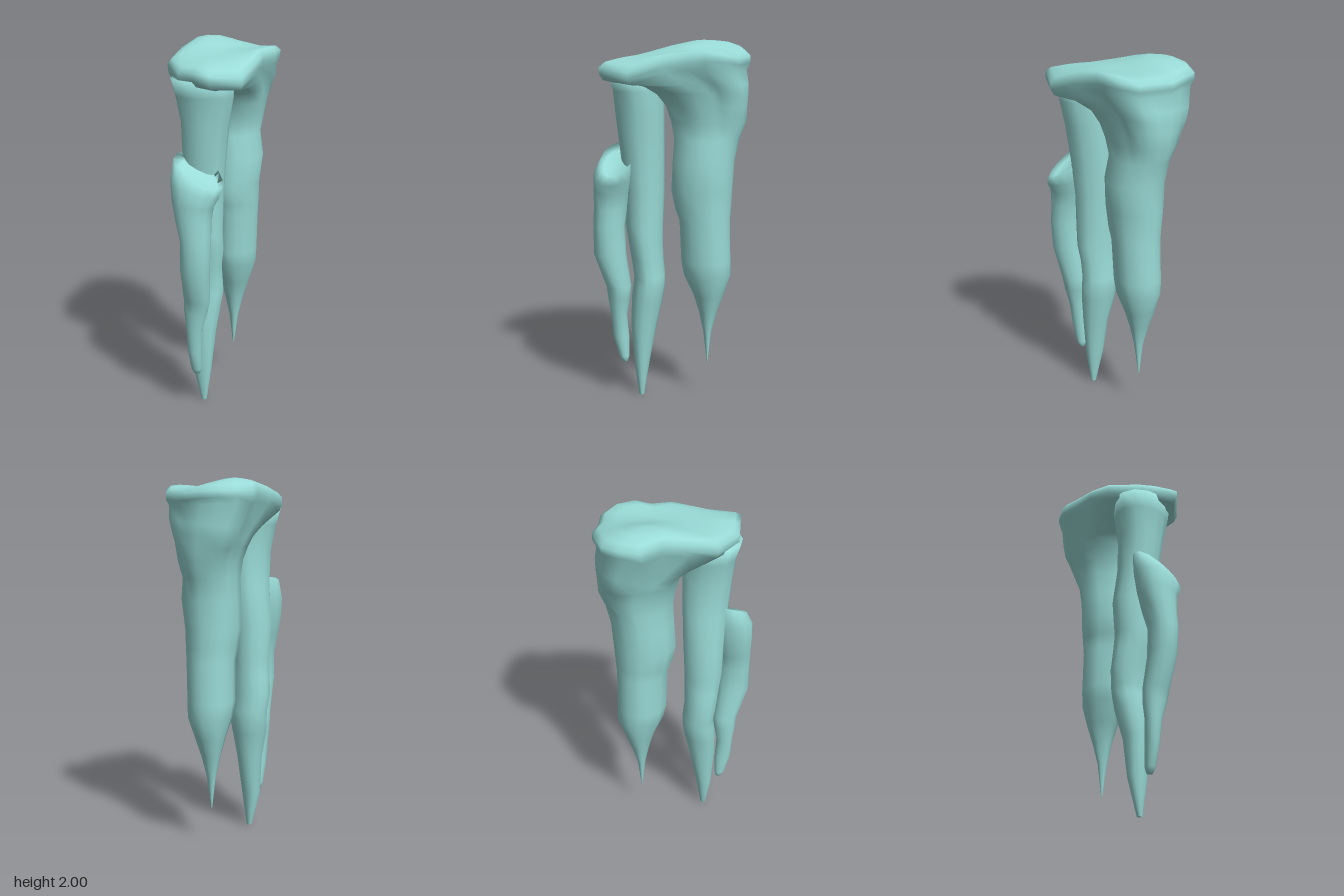
import * as THREE from 'three';

// Smooth skin over rings listed from top to bottom, closed at both ends
function skin(rings, material, name) {
  const n = rings[0].length, pos = [], idx = [];
  for (const ring of rings) for (const p of ring) pos.push(...p);
  for (let i = 0; i < rings.length - 1; i++) {
    for (let j = 0; j < n; j++) {
      const k = (j + 1) % n;
      const a = i * n + j, b = i * n + k, c = a + n, d = b + n;
      idx.push(a, b, c, b, d, c);
    }
  }
  const addEnd = (ring, start, top) => {
    const centre = pos.length / 3;
    for (let c = 0; c < 3; c++) pos.push(ring.reduce((s, p) => s + p[c], 0) / n);
    for (let j = 0; j < n; j++) {
      const a = start + j, b = start + (j + 1) % n;
      idx.push(centre, ...(top ? [b, a] : [a, b]));
    }
  };
  addEnd(rings[0], 0, true);
  addEnd(rings[rings.length - 1], (rings.length - 1) * n, false);
  const geo = new THREE.BufferGeometry();
  geo.setAttribute('position', new THREE.Float32BufferAttribute(pos, 3));
  geo.setIndex(idx);
  geo.computeVertexNormals();
  const mesh = new THREE.Mesh(geo, material);
  mesh.name = name;
  return mesh;
}

// Fit a unit outline into the box [y, xMin, xMax, zMin, zMax], with optional tilt
function section(shape, [y, x0, x1, z0, z1, tiltX = 0, tiltZ = 0]) {
  return shape.map(([u, v]) => [
    (x0 + x1) / 2 + u * (x1 - x0) / 2,
    y + tiltX * u + tiltZ * v,
    (z0 + z1) / 2 + v * (z1 - z0) / 2,
  ]);
}

// Slightly lumpy round outline
function lumpy(phase) {
  return Array.from({ length: 14 }, (_, i) => {
    const a = i / 14 * Math.PI * 2, r = 0.99 + 0.05 * Math.sin(3 * a + phase);
    return [Math.cos(a) * r, Math.sin(a) * r];
  });
}

export function createModel() {
  const group = new THREE.Group();
  group.name = 'icicleCluster';
  const ice = new THREE.MeshStandardMaterial({ color: 0x9adcd8 });
  ice.name = 'pale teal ice';

  // Cap outline in x, z
  const outline = [
    [0.26, -0.2], [0.23, -0.11], [0.262, 0.01], [0.267, 0.2], [0.17, 0.36], [0.06, 0.335],
    [-0.04, 0.31], [-0.18, 0.18], [-0.21, 0.02], [-0.22, -0.11], [-0.267, -0.22],
    [-0.24, -0.32], [-0.18, -0.4], [-0.08, -0.42], [0.0, -0.43], [0.09, -0.39], [0.18, -0.37], [0.24, -0.3],
  ];
  const unit = outline.map(([x, z]) => [x / 0.267, (z + 0.035) / 0.395]);

  // Uneven top: a ridge, a raised corner, a slope to the front and two worn front corners
  const bump = (x, z, cx, cz, wx, wz) => Math.exp(-((x - cx) ** 2 / wx + (z - cz) ** 2 / wz));
  const height = (x, z) => 1.943 - 0.12 * Math.max(0, z)
    + 0.057 * bump(x, z, -0.14, -0.2, 0.016, 0.045)
    + 0.025 * bump(x, z, 0.25, -0.22, 0.006, 0.03)
    - 0.045 * bump(x, z, 0.28, 0.22, 0.006, 0.02)
    - 0.025 * bump(x, z, -0.12, 0.28, 0.008, 0.01);
  const capRing = (scale, drop) => outline.map(([x, z]) => {
    const px = x * scale, pz = -0.035 + (z + 0.035) * scale;
    return [px, height(px, pz) - drop, pz];
  });

  // Cap flowing down into the rear icicle
  const rear = [
    [1.76, -0.217, 0.222, -0.422, 0.175, 0.018, -0.01],
    [1.71, -0.202, 0.2, -0.42, 0.07, 0.025],
    [1.65, -0.175, 0.178, -0.415, 0.025, 0.015],
    [1.57, -0.145, 0.158, -0.41, -0.005],
    [1.48, -0.125, 0.15, -0.375, -0.025],
    [1.36, -0.122, 0.18, -0.35, -0.018],
    [1.2, -0.12, 0.162, -0.34, -0.01],
    [1.1, -0.11, 0.158, -0.335, -0.03],
    [1.03, -0.102, 0.152, -0.33, -0.055],
    [0.8, -0.105, 0.142, -0.335, -0.065],
    [0.72, -0.098, 0.135, -0.338, -0.08],
    [0.6, -0.068, 0.096, -0.3, -0.135],
    [0.5, -0.042, 0.066, -0.265, -0.165],
    [0.38, -0.014, 0.038, -0.233, -0.19],
    [0.2, 0.007, 0.013, -0.215, -0.211],
  ];
  // The cap outline becomes round on the way down
  const rounded = (t) => unit.map(([u, v]) => {
    const f = THREE.MathUtils.lerp(1, 1.015 / Math.hypot(u, v), t);
    return [u * f, v * f];
  });
  group.add(skin([
    capRing(0.25, 0), capRing(0.5, 0), capRing(0.75, 0), capRing(0.92, 0.007),
    capRing(1, 0.03), capRing(1, 0.065), capRing(0.95, 0.1),
    ...rear.map((s, i) => section(rounded(Math.min(1, i / 4)), s)),
  ], ice, 'capAndRearIcicle'));

  // Long middle icicle hanging under the cap
  const middle = [
    [1.83, -0.14, 0.2, 0.02, 0.34],
    [1.74, -0.12, 0.195, 0.03, 0.312],
    [1.6, -0.09, 0.165, 0.03, 0.298],
    [1.4, -0.09, 0.14, 0.03, 0.275],
    [1.2, -0.118, 0.125, 0.032, 0.255],
    [1.0, -0.105, 0.12, 0.04, 0.25],
    [0.9, -0.115, 0.125, 0.042, 0.235],
    [0.8, -0.125, 0.11, 0.04, 0.22],
    [0.7, -0.115, 0.11, 0.03, 0.205],
    [0.65, -0.11, 0.115, 0.03, 0.21],
    [0.57, -0.1, 0.105, 0.042, 0.22],
    [0.42, -0.06, 0.085, 0.075, 0.222],
    [0.2, -0.045, 0.065, 0.115, 0.205],
    [0.0, 0.007, 0.036, 0.147, 0.176],
  ];
  const middleShape = lumpy(1);
  group.add(skin(middle.map((s) => section(middleShape, s)), ice, 'middleIcicle'));

  // Short front icicle with a slanted, slightly hollow broken top
  const front = [
    [1.345, -0.04, 0.165, 0.2, 0.36, -0.06, -0.02],
    [1.37, -0.075, 0.198, 0.18, 0.385, -0.075, -0.03],
    [1.28, -0.078, 0.19, 0.19, 0.42, -0.04],
    [1.2, -0.066, 0.16, 0.21, 0.422, -0.015],
    [1.1, -0.04, 0.15, 0.23, 0.42],
    [1.0, -0.01, 0.153, 0.245, 0.422],
    [0.84, -0.01, 0.142, 0.24, 0.422],
    [0.65, -0.022, 0.122, 0.215, 0.355],
    [0.58, -0.022, 0.108, 0.222, 0.347],
    [0.48, -0.012, 0.08, 0.24, 0.332],
    [0.35, -0.006, 0.066, 0.23, 0.322],
    [0.23, 0.0, 0.056, 0.23, 0.287],
    [0.2, 0.01, 0.045, 0.238, 0.268],
  ];
  const frontShape = lumpy(0.8);
  group.add(skin(front.map((s) => section(frontShape, s)), ice, 'frontIcicle'));

  return group;
}
